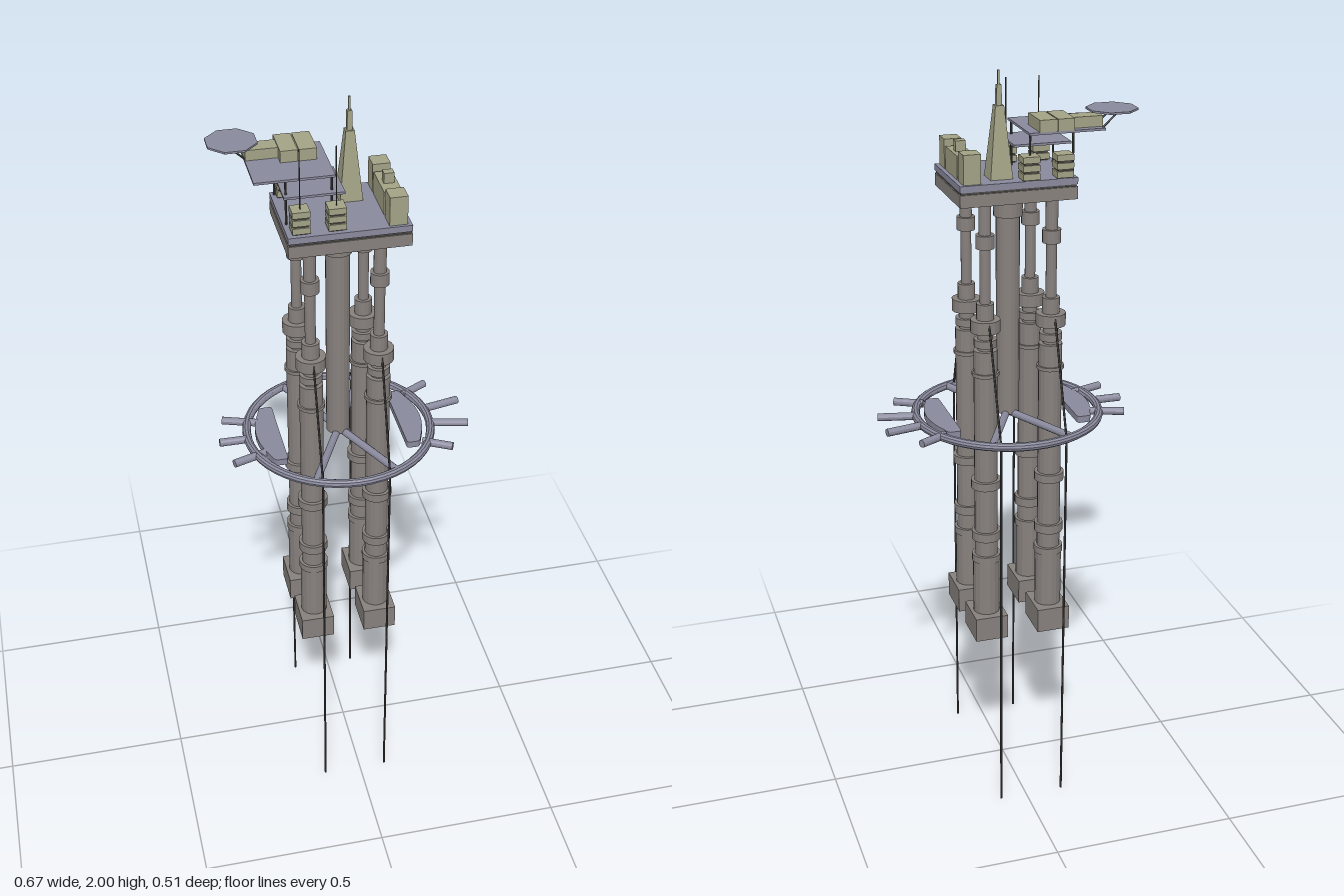
import * as THREE from 'three';

const mat = (color) => new THREE.MeshStandardMaterial({ color, flatShading: true, side: THREE.DoubleSide });

export function createModel() {
  const model = new THREE.Group();
  const brown = mat(0x87817d), blue = mat(0x8a8a9e), olive = mat(0xa3a387), dark = mat(0x4a4846);

  const add = (name, geo, material, x = 0, y = 0, z = 0) => {
    const mesh = new THREE.Mesh(geo, material);
    mesh.name = name;
    mesh.position.set(x, y, z);
    model.add(mesh);
    return mesh;
  };
  // Box given by its extents on each axis
  const block = (name, material, x0, x1, y0, y1, z0, z1) =>
    add(name, new THREE.BoxGeometry(x1 - x0, y1 - y0, z1 - z0), material,
      (x0 + x1) / 2, (y0 + y1) / 2, (z0 + z1) / 2);
  // Round bar between two points
  const bar = (name, material, a, b, r, sides = 12) => {
    const p = new THREE.Vector3(...a), q = new THREE.Vector3(...b);
    const mesh = add(name, new THREE.CylinderGeometry(r, r, p.distanceTo(q), sides), material);
    mesh.position.copy(p).lerp(q, 0.5);
    mesh.quaternion.setFromUnitVectors(new THREE.Vector3(0, 1, 0), q.sub(p).normalize());
  };

  const cx = -0.0125, ringY = 1.08, ringR = 0.245;

  // Legs: stepped column of [radius, bottom, top] sections, on square feet
  const sections = [
    [0.036, 0.53, 0.69], [0.039, 0.69, 0.71], [0.031, 0.71, 0.755], [0.039, 0.755, 0.78],
    [0.031, 0.78, 0.907], [0.04, 0.907, 0.93], [0.031, 0.93, 1.225], [0.036, 1.225, 1.235],
    [0.031, 1.235, 1.295], [0.02, 1.295, 1.305], [0.03, 1.305, 1.325], [0.02, 1.325, 1.345],
    [0.039, 1.345, 1.378], [0.023, 1.378, 1.42], [0.014, 1.42, 1.565], [0.024, 1.565, 1.6],
    [0.016, 1.6, 1.685],
  ];
  const profile = sections.flatMap(([r, a, b]) => [new THREE.Vector2(r, a), new THREE.Vector2(r, b)]);
  const legGeo = new THREE.LatheGeometry(profile, 16);
  for (const x of [-0.103, 0.073]) {
    for (const s of [1, -1]) {
      const z = s * 0.087;
      add('leg', legGeo, brown, x, 0, z);
      block('foot', brown, x - 0.045, x + 0.045, 0.467, 0.535, z - 0.055, z + 0.055);
      // Mooring line and its stay up to the leg collar
      bar('mooringLine', dark, [x, 0, s * 0.225], [x, ringY, s * 0.225], 0.003, 6);
      bar('stay', dark, [x, ringY, s * 0.225], [x, 1.375, s * 0.122], 0.003, 6);
      // Ring spoke
      bar('spoke', blue, [cx, ringY, 0], [cx + Math.sign(x) * 0.108, ringY, s * 0.22], 0.01);
    }
  }

  // Central column
  bar('centralColumn', brown, [-0.014, 1.08, 0], [-0.014, 1.68, 0], 0.031, 20);
  bar('columnCollar', brown, [-0.014, 1.62, 0], [-0.014, 1.68, 0], 0.038, 20);

  // Ring with side decks and radiating stubs
  add('ring', new THREE.TorusGeometry(ringR, 0.0115, 10, 48).rotateX(Math.PI / 2), blue, cx, ringY, 0);
  for (const s of [1, -1]) {
    const deck = new THREE.Shape();
    deck.moveTo(s * 0.166, -0.119);
    deck.lineTo(s * 0.188, -0.119);
    deck.quadraticCurveTo(s * 0.196, -0.115, s * 0.2, -0.1);
    deck.quadraticCurveTo(s * 0.245, 0, s * 0.2, 0.1);
    deck.quadraticCurveTo(s * 0.196, 0.119, s * 0.188, 0.119);
    deck.lineTo(s * 0.166, 0.119);
    deck.quadraticCurveTo(s * 0.159, 0.119, s * 0.159, 0.108);
    deck.lineTo(s * 0.159, -0.108);
    deck.quadraticCurveTo(s * 0.159, -0.119, s * 0.166, -0.119);
    const geo = new THREE.ExtrudeGeometry(deck, { depth: 0.018, bevelEnabled: false, curveSegments: 6 });
    add('sideDeck', geo.rotateX(-Math.PI / 2), blue, cx, ringY - 0.009, 0);

    bar('stub', blue, [-0.22, ringY, s * 0.067], [-0.31, ringY, s * 0.098], 0.0105);
    bar('stub', blue, [0.19, ringY, s * 0.11], [0.262, ringY, s * 0.149], 0.0105);
    bar('stub', blue, [0.235, ringY, s * 0.034], [0.33, ringY, s * 0.054], 0.0105);
  }
  bar('stub', blue, [-0.255, ringY, 0], [-0.333, ringY, 0], 0.0105);

  // Main platform
  block('platformHull', brown, -0.16, 0.145, 1.68, 1.712, -0.119, 0.119);
  block('platformSeam', dark, -0.157, 0.142, 1.712, 1.718, -0.116, 0.116);
  block('platformDeck', blue, -0.16, 0.145, 1.718, 1.735, -0.119, 0.119);

  // Cabins along the left edge
  block('cabin', olive, 0.089, 0.134, 1.735, 1.81, -0.112, -0.065);
  block('cabin', olive, 0.089, 0.134, 1.735, 1.81, 0.064, 0.111);
  block('longCabin', olive, 0.089, 0.134, 1.735, 1.795, -0.055, 0.052);
  block('roofUnit', olive, 0.099, 0.125, 1.795, 1.822, -0.012, 0.01);

  // Derrick: tapered square tower with a spire
  const tower = (name, rTop, rBottom, y0, y1) =>
    add(name, new THREE.CylinderGeometry(rTop * Math.SQRT2, rBottom * Math.SQRT2, y1 - y0, 4)
      .rotateY(Math.PI / 4), olive, 0.028, (y0 + y1) / 2, -0.057);
  tower('derrick', 0.011, 0.029, 1.735, 1.915);
  tower('derrickTop', 0.006, 0.007, 1.915, 1.965);
  tower('derrickSpire', 0.0025, 0.0025, 1.965, 2);

  // Layered equipment stacks, front ones carrying antennas
  for (const x of [-0.125, -0.037]) {
    for (const z of [0.089, -0.103]) {
      for (let i = 0; i < 3; i++) {
        const y = 1.738 + i * 0.021;
        block('stackLayer', olive, x - 0.022, x + 0.022, y, y + 0.016, z - 0.021, z + 0.021);
      }
      block('stackCore', dark, x - 0.018, x + 0.018, 1.735, 1.79, z - 0.017, z + 0.017);
    }
    bar('antenna', dark, [x, 1.79, 0.093], [x, 1.95, 0.093], 0.0015, 6);
  }

  // Raised decks on posts
  block('lowerDeck', blue, -0.158, -0.009, 1.809, 1.815, -0.068, 0.066);
  block('upperDeck', blue, -0.227, -0.03, 1.85, 1.856, -0.127, 0.055);
  for (const x of [-0.15, -0.038]) {
    for (const z of [0.048, -0.105]) {
      bar('deckPost', dark, [x, 1.735, z], [x, 1.85, z], 0.003, 6);
    }
  }

  // Quarters on the upper deck
  block('quarters', olive, -0.146, -0.103, 1.856, 1.886, -0.127, -0.034);
  block('quarters', olive, -0.1, -0.056, 1.856, 1.886, -0.127, -0.034);
  block('quartersLink', olive, -0.103, -0.1, 1.856, 1.883, -0.124, -0.037);
  block('quartersAnnex', olive, -0.226, -0.146, 1.856, 1.883, -0.107, -0.062);

  // Octagonal landing pad with struts
  add('landingPad', new THREE.CylinderGeometry(0.0655, 0.0655, 0.005, 8).rotateY(Math.PI / 8),
    blue, -0.254, 1.896, -0.093);
  for (const z of [-0.115, -0.07]) {
    bar('padStrut', dark, [-0.265, 1.894, z], [-0.222, 1.854, z], 0.0025, 6);
  }
  return model;
}
